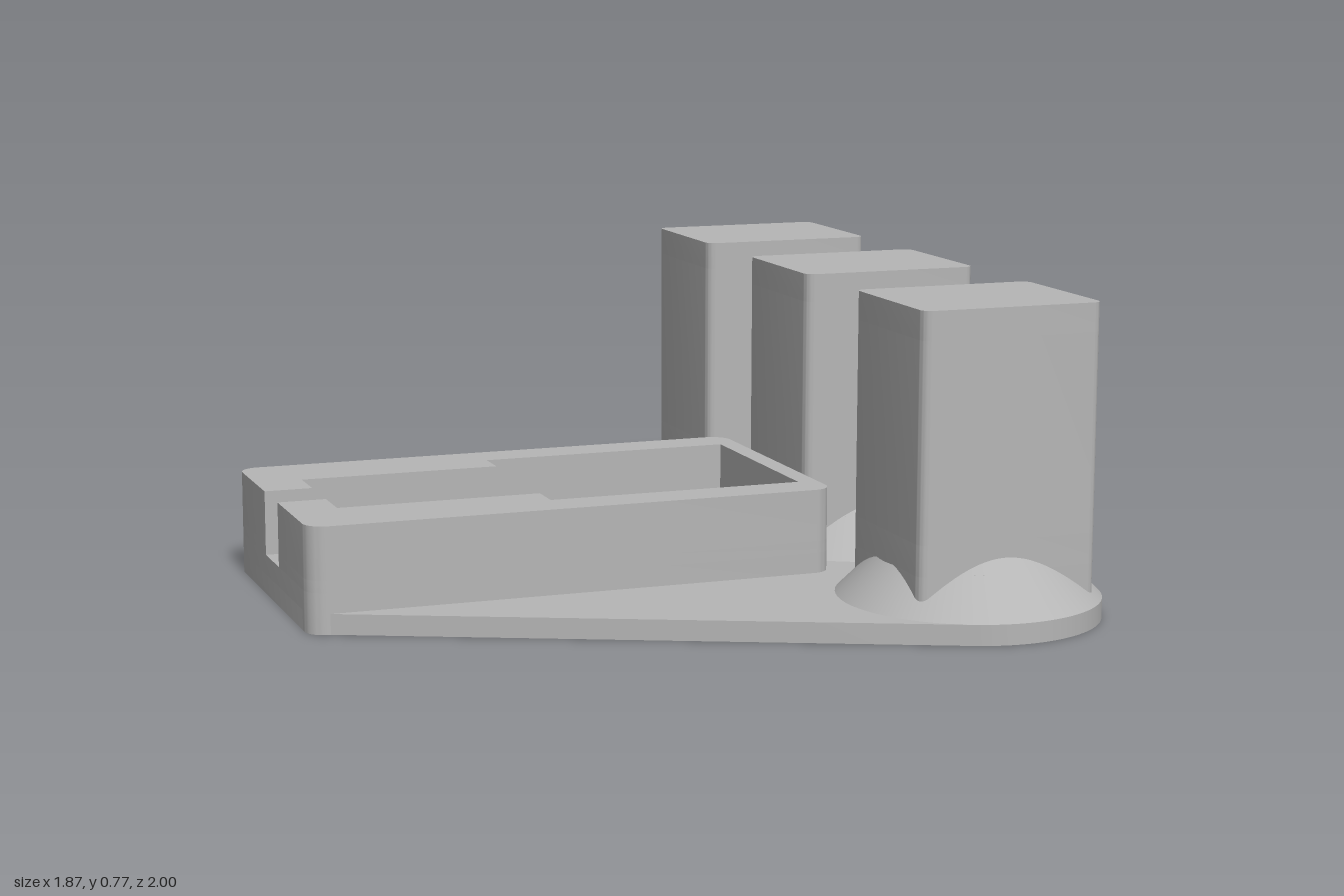
import * as THREE from 'three';
import { toCreasedNormals } from 'three/addons/utils/BufferGeometryUtils.js';

// Closed outline from [x, y, cornerRadius] points
function outline(pts) {
  const s = new THREE.Shape();
  const n = pts.length;
  pts.forEach(([x, y, r = 0], i) => {
    const toward = ([px, py]) => {
      const l = Math.hypot(px - x, py - y);
      return [x + ((px - x) / l) * r, y + ((py - y) / l) * r];
    };
    const a = toward(pts[(i + n - 1) % n]);
    const b = toward(pts[(i + 1) % n]);
    if (i === 0) s.moveTo(...a);
    else s.lineTo(...a);
    if (r) {
      // circular-looking fillet
      const k = 0.5523;
      s.bezierCurveTo(a[0] + (x - a[0]) * k, a[1] + (y - a[1]) * k,
        b[0] + (x - b[0]) * k, b[1] + (y - b[1]) * k, b[0], b[1]);
    }
  });
  s.closePath();
  return s;
}

// Plan shape raised from y0 to y1
function slab(shape, y0, y1, curveSegments = 10) {
  const g = new THREE.ExtrudeGeometry(shape, { depth: y1 - y0, bevelEnabled: false, curveSegments });
  g.rotateX(-Math.PI / 2).translate(0, y0, 0);
  return toCreasedNormals(g, 0.5);
}

// Side-view (x, y) profile extruded across z, centred
function across(pts, width) {
  const g = new THREE.ExtrudeGeometry(outline(pts), { depth: width, bevelEnabled: false });
  return g.translate(0, 0, -width / 2);
}

export function createModel() {
  const model = new THREE.Group();
  model.name = 'standWithThreeTowers';
  const grey = new THREE.MeshStandardMaterial({ color: 0xb6b6b6 });
  grey.name = 'grey plastic';
  const add = (parent, name, geometry) => {
    const m = new THREE.Mesh(geometry, grey);
    m.name = name;
    parent.add(m);
    return m;
  };

  // Base plate: tangent hull of two small and two large corner circles
  const plate = new THREE.Shape();
  const t = 1.984;
  plate.absarc(0.61, 0.68, 0.32, 0, t);
  plate.absarc(-0.88, 0.31, 0.06, t, Math.PI);
  plate.absarc(-0.88, -0.31, 0.06, Math.PI, 2 * Math.PI - t);
  plate.absarc(0.61, -0.68, 0.32, 2 * Math.PI - t, 2 * Math.PI);
  add(model, 'basePlate', slab(plate, 0, 0.05, 32));

  // Tray with a wide pocket, a narrow pocket and a cable slot at its end
  const tray = new THREE.Group();
  tray.name = 'tray';
  model.add(tray);
  const X0 = -0.94, X1 = 0.39, W = 0.372, R = 0.05;
  const outer = [[X0, -W, R], [X1, -W, R], [X1, W, R], [X0, W, R]];
  add(tray, 'trayFloor', slab(outline(outer), 0, 0.1));
  const lower = outline([...outer, [X0, 0.07], [-0.82, 0.07], [-0.82, -0.07], [X0, -0.07]]);
  lower.holes.push(outline([[-0.31, -0.265], [-0.31, 0.265], [0.34, 0.265], [0.34, -0.265]]));
  add(tray, 'trayStep', slab(lower, 0.1, 0.13));
  const half = [[X0, 0.07], [-0.82, 0.07], [-0.82, 0.18], [-0.31, 0.18], [-0.31, 0.265], [0.34, 0.265]];
  const mirrored = half.map(([x, y]) => [x, -y]).reverse();
  add(tray, 'trayWalls', slab(outline([...outer, ...half, ...mirrored]), 0.13, 0.26));

  // Tower plan, optionally cut open on the +x side back to xin
  const towerPlan = (xin, b) => outline([
    [-0.22, -0.193, 0.025], [0.24, -0.193, 0.025],
    ...(b ? [[0.24, -b], [xin, -b], [xin, b], [0.24, b]] : []),
    [0.24, 0.193, 0.025], [-0.22, 0.193, 0.025],
  ]);

  const towerParts = {
    towerFoot: slab(towerPlan(), 0.04, 0.145),
    towerNotch: slab(towerPlan(-0.12, 0.05), 0.145, 0.22),
    towerWalls: slab(towerPlan(-0.17, 0.153), 0.22, 0.7),
    towerCap: slab(towerPlan(), 0.7, 0.77),
    slopedCeiling: across([[-0.17, 0.67], [0.24, 0.7], [-0.17, 0.7]], 0.306),
    notchCatch: across([[-0.13, 0.17], [-0.12, 0.17], [-0.08, 0.2], [-0.08, 0.22], [-0.13, 0.22]], 0.1),
    skirt: new THREE.CylinderGeometry(0.225, 0.32, 0.095, 64, 1, true).translate(0, 0.0975, 0),
  };

  for (const z of [-0.68, 0, 0.68]) {
    const tower = new THREE.Group();
    tower.name = 'tower';
    tower.position.set(0.61, 0, z);
    for (const [name, g] of Object.entries(towerParts)) add(tower, name, g);
    for (const side of [-1, 1]) {
      // top of the conical skirt against the flat sides
      const mid = side > 0 ? 0 : Math.PI;
      add(tower, 'skirtTop', new THREE.CylinderGeometry(0.19, 0.225, 0.035, 16, 1, true, mid - 0.7, 1.4)
        .translate(0, 0.1625, 0));
      // small snap bump inside the opening
      add(tower, 'snapBump', new THREE.SphereGeometry(0.022, 16, 12)
        .translate(0.19, 0.59, side * 0.162));
    }
    model.add(tower);
  }
  return model;
}
